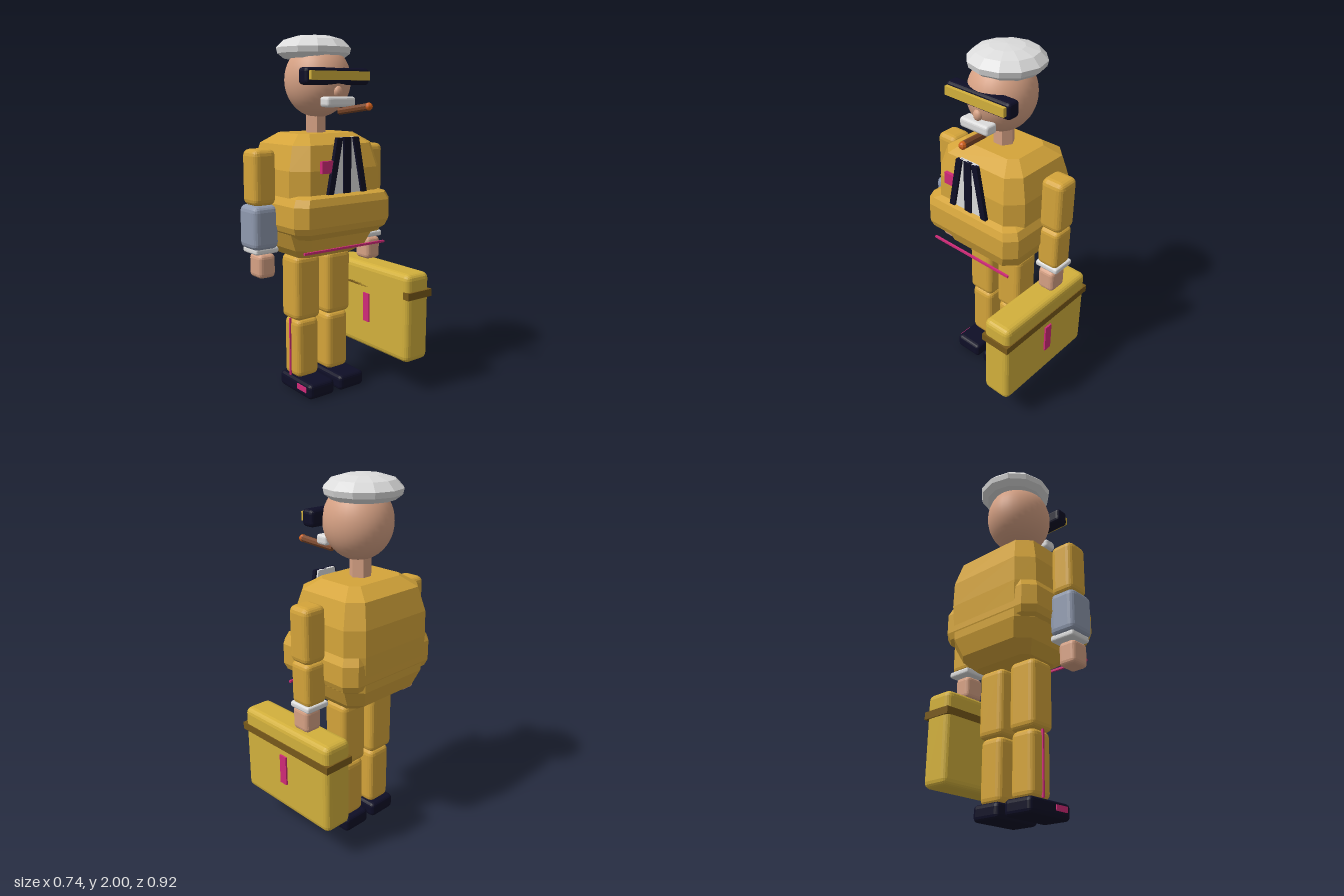
import * as THREE from 'three';
import { RoundedBoxGeometry } from 'three/addons/geometries/RoundedBoxGeometry.js';

const mat = (name, color) => new THREE.MeshStandardMaterial({ name, color });

// Faceted copy of a geometry
function facet(g) {
  const f = g.index ? g.toNonIndexed() : g;
  f.computeVertexNormals();
  return f;
}

// Chamfered-rectangle rings [y, halfX, halfZ] joined into a closed faceted shell
function loft(rings, cut) {
  const pos = [];
  const loops = rings.map(([y, a, b]) => {
    const c = Math.min(a, b) * cut;
    return [[a, -b + c], [a, b - c], [a - c, b], [-a + c, b], [-a, b - c], [-a, -b + c], [-a + c, -b], [a - c, -b]]
      .map(([x, z]) => [x, y, z]);
  });
  const tri = (...p) => p.forEach(v => pos.push(...v));
  const last = loops.length - 1;
  const bottom = [0, rings[0][0], 0], top = [0, rings[last][0], 0];
  for (let i = 0; i < 8; i++) {
    const j = (i + 1) % 8;
    for (let k = 0; k < last; k++) {
      const lo = loops[k], hi = loops[k + 1];
      tri(lo[i], hi[i], lo[j]);
      tri(hi[i], hi[j], lo[j]);
    }
    tri(top, loops[last][j], loops[last][i]);
    tri(bottom, loops[0][i], loops[0][j]);
  }
  const g = new THREE.BufferGeometry();
  g.setAttribute('position', new THREE.Float32BufferAttribute(pos, 3));
  g.computeVertexNormals();
  return g;
}

export function createModel() {
  const root = new THREE.Group();
  root.name = 'gentlemanWithCase';
  const suit = mat('suit', 0xd4a43a), caseYellow = mat('caseYellow', 0xd2b03c);
  const skin = mat('skin', 0xd6a184), black = mat('black', 0x0e0e26);
  const white = mat('white', 0xdcdcdc), pink = mat('pink', 0xd02a78);
  const brown = mat('cigarBrown', 0x7a4628), ember = mat('ember', 0xd0601c);
  const grey = mat('greySleeve', 0x8f99ae), strap = mat('strap', 0x78591a);

  const add = (name, g, m, x = 0, y = 0, z = 0) => {
    const mesh = new THREE.Mesh(g, m);
    mesh.name = name;
    mesh.position.set(x, y, z);
    root.add(mesh);
    return mesh;
  };
  // Box given by its limits; r is the rounding of its edges
  const box = (name, m, [x0, x1], [y0, y1], [z0, z1], r = 0) => {
    const s = [x1 - x0, y1 - y0, z1 - z0];
    const g = r ? facet(new RoundedBoxGeometry(...s, 2, r)) : new THREE.BoxGeometry(...s);
    return add(name, g, m, (x0 + x1) / 2, (y0 + y1) / 2, (z0 + z1) / 2);
  };
  // Flat plate facing +x, outlined by [z, y] points
  const plate = (name, m, pts, x, depth) => {
    const shape = new THREE.Shape(pts.map(([z, y]) => new THREE.Vector2(-z, y)));
    const g = new THREE.ExtrudeGeometry(shape, { depth, bevelEnabled: false });
    return add(name, g.rotateY(Math.PI / 2), m, x);
  };

  // Head, nose and neck
  add('head', new THREE.SphereGeometry(0.19, 32, 24).scale(1, 1.05, 0.94), skin, -0.092, 1.757, 0);
  add('nose', new THREE.SphereGeometry(0.026, 12, 8).scale(0.8, 1.2, 1), skin, 0.09, 1.695, 0);
  add('neck', facet(new THREE.CylinderGeometry(0.058, 0.058, 0.16, 6)), skin, -0.11, 1.53, 0);

  // Flat cap
  const capProfile = [[0, 1.868], [0.165, 1.873], [0.2, 1.9], [0.207, 1.93], [0.165, 1.972], [0.092, 1.993], [0, 2]]
    .map(p => new THREE.Vector2(...p));
  add('cap', facet(new THREE.LatheGeometry(capProfile, 12)), white, -0.126, 0, 0);

  // Visor, moustache and cigar
  box('visorFrame', black, [0.02, 0.102], [1.73, 1.82], [-0.213, 0.213], 0.022);
  box('visorLens', caseYellow, [0.1, 0.122], [1.755, 1.802], [-0.195, 0.195]);
  box('moustache', white, [0.05, 0.127], [1.615, 1.67], [-0.095, 0.095], 0.016);
  const from = new THREE.Vector3(0.07, 1.592, -0.026), to = new THREE.Vector3(0.265, 1.62, -0.065);
  const dir = to.clone().sub(from);
  const rot = new THREE.Quaternion().setFromUnitVectors(new THREE.Vector3(0, 1, 0), dir.clone().normalize());
  const cigar = add('cigar', facet(new THREE.CylinderGeometry(0.02, 0.019, dir.length(), 8)), brown);
  cigar.position.copy(from).addScaledVector(dir, 0.5);
  cigar.quaternion.copy(rot);
  add('cigarEmber', facet(new THREE.SphereGeometry(0.021, 8, 6)), ember, to.x, to.y, to.z);

  // Torso and the wide belly band
  add('torso', loft([
    [0.8, 0.13, 0.19], [0.855, 0.215, 0.245], [0.95, 0.25, 0.29], [1.15, 0.262, 0.305],
    [1.29, 0.26, 0.302], [1.42, 0.225, 0.265], [1.475, 0.14, 0.185]], 0.3), suit, -0.112, 0, 0);
  add('bellyBand', loft([
    [0.925, 0.22, 0.255], [0.965, 0.27, 0.31], [1, 0.283, 0.325],
    [1.11, 0.283, 0.325], [1.15, 0.268, 0.305], [1.17, 0.22, 0.25]], 0.2), suit, -0.084, 0, 0);

  // Shirt front, tie, lapels, pocket square and hem piping
  plate('shirt', white, [[0.06, 1.46], [-0.06, 1.46], [-0.11, 1.165], [0.11, 1.165]], 0.148, 0.018);
  box('tie', black, [0.155, 0.175], [1.165, 1.46], [-0.024, 0.024]);
  for (const s of [1, -1]) {
    plate('lapel', black, [[s * 0.035, 1.46], [s * 0.072, 1.46], [s * 0.13, 1.165], [s * 0.095, 1.165]], 0.158, 0.022);
  }
  box('pocketSquare', pink, [0.155, 0.175], [1.277, 1.342], [0.095, 0.167]);
  box('hemPiping', pink, [0.155, 0.167], [0.859, 0.871], [-0.275, 0.275]);

  for (const s of [1, -1]) {
    const span = (a, b) => (s > 0 ? [a, b] : [-b, -a]);
    const side = s > 0 ? 'left' : 'right';
    const name = part => part + (s > 0 ? 'Front' : 'Back');

    // Arms
    box(name('upperArm'), suit, [-0.18, -0.04], [1.1, 1.4], span(0.303, 0.442), 0.035);
    if (s > 0) box(name('forearm'), grey, [-0.195, -0.025], [0.865, 1.105], [0.3, 0.457], 0.035);
    else box(name('forearm'), suit, [-0.175, -0.04], [0.865, 1.105], [-0.435, -0.302], 0.03);
    box(name('cuff'), white, [-0.18, -0.04], [0.842, 0.877], span(0.298, 0.442), 0.012);
    box(name('hand'), skin, [-0.15, -0.033], [0.71, 0.842], span(0.321, 0.425), 0.025);

    // Legs and shoes
    box(name('thigh'), suit, [-0.19, -0.028], [0.425, 0.8], span(0.022, 0.194), 0.035);
    box(name('shin'), suit, [-0.182, -0.035], [0.083, 0.43], span(0.03, 0.182), 0.035);
    box(name('trouserStripe'), pink, [-0.113, -0.104], [0.09, 0.43], span(0.178, 0.19));
    box(name('shoe'), black, [-0.21, 0.095], [0.002, 0.09], span(0.018, 0.194), 0.025);
    box(name('shoeTag'), pink, [-0.025, 0.06], [0.04, 0.07], span(0.185, 0.199));
  }

  // Carrying case with its strap and side labels
  box('case', caseYellow, [-0.325, 0.36], [0.187, 0.7], [-0.45, -0.277], 0.035);
  box('caseStrap', strap, [-0.332, 0.37], [0.56, 0.602], [-0.455, -0.277]);
  box('caseLabelOuter', pink, [-0.006, 0.044], [0.353, 0.525], [-0.46, -0.448]);
  box('caseLabelInner', pink, [-0.006, 0.044], [0.353, 0.525], [-0.279, -0.269]);

  return root;
}
